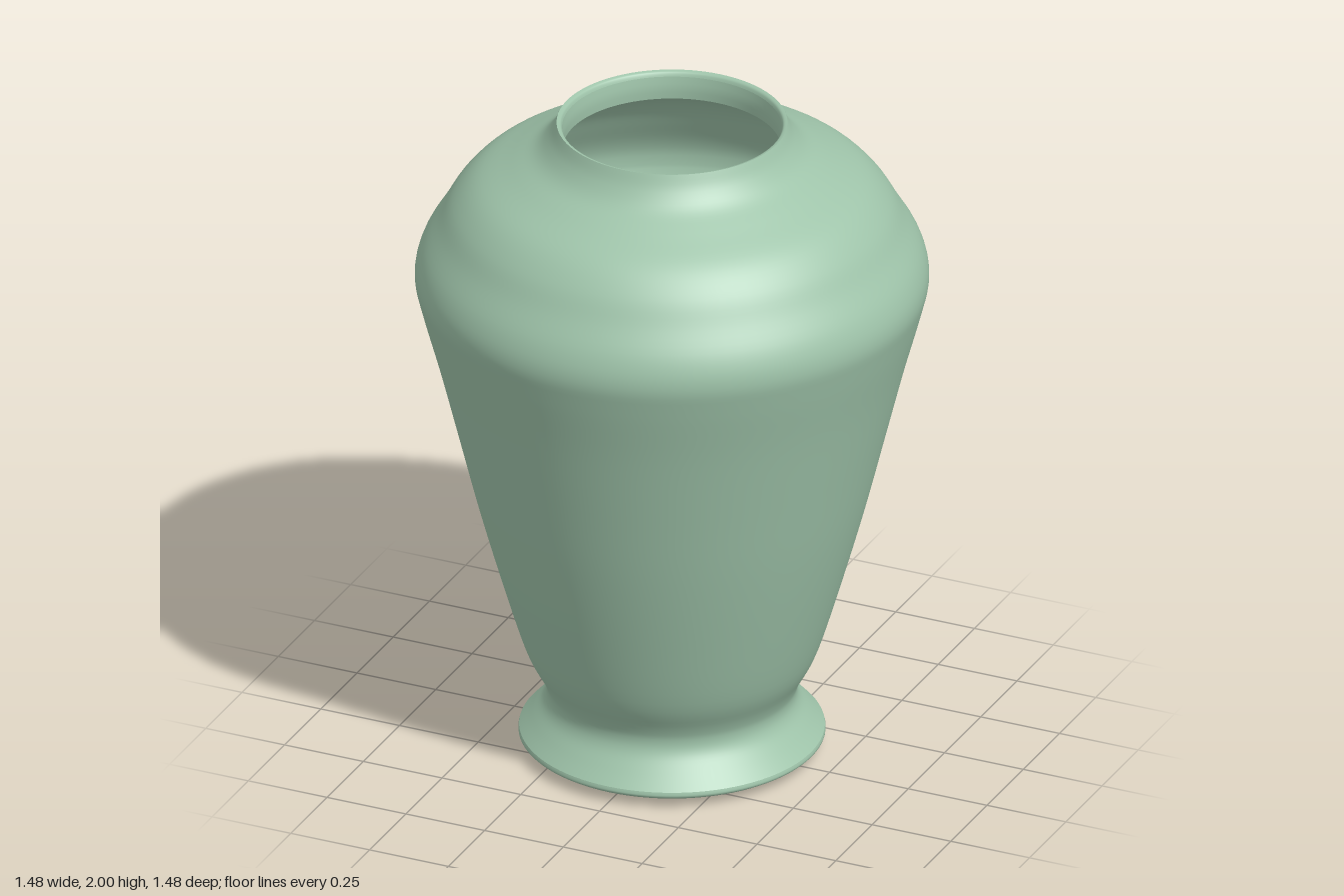
import * as THREE from 'three';

const SEGMENTS = 96;

// Smooth curve through [radius, height] pairs
function smooth(points, divisions) {
  return new THREE.SplineCurve(points.map(([r, y]) => new THREE.Vector2(r, y))).getPoints(divisions);
}

export function createModel() {
  const group = new THREE.Group();
  group.name = 'vase';
  const glaze = new THREE.MeshStandardMaterial({ color: 0x9fc4aa, side: THREE.DoubleSide });

  // Each band is its own lathe so that the edges between bands stay sharp
  const addBand = (name, points) => {
    const mesh = new THREE.Mesh(new THREE.LatheGeometry(points, SEGMENTS), glaze);
    mesh.name = name;
    group.add(mesh);
  };

  // Slightly domed underside and thin foot edge
  addBand('underside', smooth([[0, 0], [0.2, 0.006], [0.36, 0.017], [0.43, 0.028]], 10));
  addBand('footEdge', smooth([[0.43, 0.028], [0.443, 0.038], [0.441, 0.052]], 6));

  // Flared foot, waist, body, shoulder and neck
  addBand('outerWall', smooth([
    [0.441, 0.052], [0.405, 0.092], [0.372, 0.135], [0.362, 0.175], [0.375, 0.22],
    [0.425, 0.32], [0.49, 0.53], [0.56, 0.78], [0.62, 1.02], [0.675, 1.24],
    [0.724, 1.42], [0.742, 1.51], [0.724, 1.59], [0.675, 1.675], [0.63, 1.75],
    [0.565, 1.815], [0.465, 1.87], [0.395, 1.91], [0.355, 1.955], [0.333, 2],
  ], 90));

  // Thin lip and the inside of the neck
  addBand('lip', smooth([[0.333, 2], [0.322, 1.996], [0.317, 1.985]], 6));
  addBand('innerNeck', smooth([[0.317, 1.985], [0.313, 1.95], [0.315, 1.915]], 6));

  // Hollow interior following the outside, closed by a floor
  addBand('innerWall', smooth([
    [0.315, 1.915], [0.45, 1.845], [0.55, 1.785], [0.61, 1.725], [0.655, 1.655],
    [0.7, 1.575], [0.713, 1.51], [0.695, 1.42], [0.59, 1.02], [0.53, 0.78],
    [0.46, 0.53], [0.395, 0.33], [0.345, 0.22],
  ], 50));
  addBand('innerFloor', smooth([[0.345, 0.22], [0.2, 0.205], [0, 0.2]], 6));

  return group;
}
